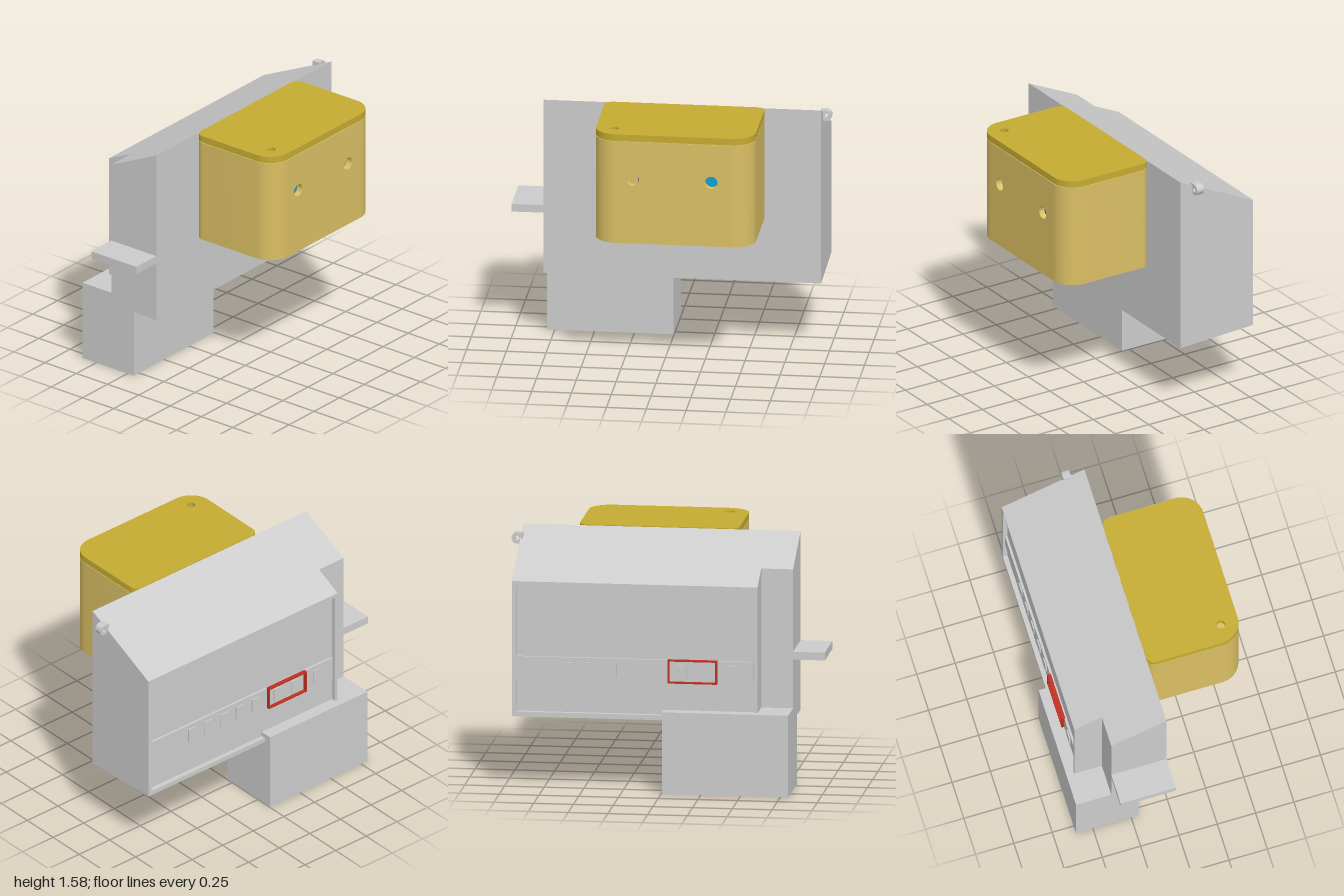
import * as THREE from 'three';
import { toCreasedNormals } from 'three/addons/utils/BufferGeometryUtils.js';

const paint = (color) => new THREE.MeshStandardMaterial({ color });
const grey = paint(0xcccccc), gold = paint(0xdabf64), lidGold = paint(0xc5ab33);
const red = paint(0xc03020), blue = paint(0x1010e0), cyan = paint(0x10a0d0);

export function createModel() {
  const model = new THREE.Group();

  const add = (name, geometry, material = grey, parent = model) => {
    const mesh = new THREE.Mesh(geometry, material);
    mesh.name = name;
    parent.add(mesh);
    return mesh;
  };

  // box given by its limits
  const block = (name, x0, x1, y0, y1, z0, z1, material, parent) => {
    const g = new THREE.BoxGeometry(x1 - x0, y1 - y0, z1 - z0);
    g.translate((x0 + x1) / 2, (y0 + y1) / 2, (z0 + z1) / 2);
    return add(name, g, material, parent);
  };

  // x-y outline extruded from z0 to z1
  const profile = (name, points, z0, z1, material, parent) => {
    const shape = new THREE.Shape(points.map(([x, y]) => new THREE.Vector2(x, y)));
    const g = new THREE.ExtrudeGeometry(shape, { depth: z1 - z0, bevelEnabled: false });
    return add(name, g.translate(0, 0, z0), material, parent);
  };

  // x-z shape (drawn with y = -z) extruded from y0 to y1
  const upright = (name, shape, y0, y1, material, parent) => {
    const g = new THREE.ExtrudeGeometry(shape, { depth: y1 - y0, bevelEnabled: false, curveSegments: 16 });
    g.rotateX(-Math.PI / 2).translate(0, y0, 0);
    return add(name, toCreasedNormals(g, 0.5), material, parent);
  };

  const circle = (x, y, r) => new THREE.Path().absarc(x, y, r, 0, Math.PI * 2, true);

  // main housing with sloping roof and slightly sloping underside
  const roof = (x) => 1.575 + (x + 0.02) * 0.472;
  const floor = (x) => 0.435 - (x + 0.02) * 0.045;
  const slice = (a, b) => [[a, floor(a)], [b, floor(b)], [b, roof(b)], [a, roof(a)]];
  const body = new THREE.Group();
  body.name = 'housing';
  model.add(body);
  profile('housingCore', slice(-0.53, -0.02), -0.945, 0.6, grey, body);
  profile('housingFront', slice(-0.38, -0.02), 0.6, 0.8, grey, body);

  // raised rim around the recessed side panel
  const rim = slice(-0.56, -0.53);
  profile('rimBack', rim, -0.945, -0.92, grey, body);
  profile('rimFront', rim, 0.58, 0.6, grey, body);
  profile('rimTop', [[-0.56, 1.295], [-0.53, 1.295], rim[2], rim[3]], -0.92, 0.58, grey, body);
  profile('rimBottom', [rim[0], rim[1], [-0.53, 0.49], [-0.56, 0.49]], -0.92, 0.58, grey, body);

  // counter strip with plain dials and a red frame
  const counter = new THREE.Group();
  counter.name = 'counter';
  model.add(counter);
  block('counterStrip', -0.545, -0.53, 0.69, 0.84, -0.92, 0.57, grey, counter);
  for (const z of [-0.58, -0.45, -0.32, -0.19, -0.06, 0.12, 0.26, 0.44]) {
    block('dial', -0.553, -0.54, 0.72, 0.81, z - 0.03, z + 0.03, grey, counter);
  }
  for (const y of [0.7, 0.84]) {
    block('redFrameRail', -0.565, -0.54, y - 0.005, y + 0.005, 0.035, 0.345, red, counter);
  }
  for (const z of [0.04, 0.34]) {
    block('redFrameEnd', -0.565, -0.54, 0.7, 0.84, z - 0.005, z + 0.005, red, counter);
  }

  // foot and front shelf
  block('foot', -0.61, -0.2, 0, 0.52, 0.005, 0.8);
  block('frontShelf', -0.38, -0.02, 0.83, 0.88, 0.8, 1);

  // rear eyelet: a rounded lug with a hole, its axis along x
  const lug = new THREE.Shape();
  lug.moveTo(0.93, 1.475);
  lug.lineTo(0.965, 1.475);
  lug.absarc(0.965, 1.51, 0.035, -Math.PI / 2, Math.PI / 2, false);
  lug.lineTo(0.93, 1.545);
  lug.holes.push(circle(0.965, 1.51, 0.014));
  const lugGeometry = new THREE.ExtrudeGeometry(lug, { depth: 0.05, bevelEnabled: false, curveSegments: 14 });
  lugGeometry.rotateY(Math.PI / 2).translate(-0.16, 0, 0);
  add('rearEyelet', toCreasedNormals(lugGeometry, 0.5));

  // yellow enclosure outline, wide radius on the outer side
  const enclosure = new THREE.Group();
  enclosure.name = 'enclosure';
  model.add(enclosure);
  const rounded = (inset, Type = THREE.Shape) => {
    const s = new Type();
    const x0 = -0.02 + inset, x1 = 0.605 - inset, b = -0.41 + inset, t = 0.595 - inset;
    const r = 0.14 - inset, q = 0.055 - inset;
    s.moveTo(x0 + q, b);
    s.absarc(x1 - r, b + r, r, -Math.PI / 2, 0, false);
    s.absarc(x1 - r, t - r, r, 0, Math.PI / 2, false);
    s.absarc(x0 + q, t - q, q, Math.PI / 2, Math.PI, false);
    s.absarc(x0 + q, b + q, q, Math.PI, Math.PI * 1.5, false);
    return s;
  };

  // walls left open on the outer side, where the drilled wall fits in
  const walls = new THREE.Shape();
  const w = 0.04, x0 = -0.02, x1 = 0.605, b = -0.41, t = 0.595, r = 0.14, q = 0.055;
  const H = Math.PI / 2;
  walls.moveTo(x1, t - r);
  walls.absarc(x1 - r, t - r, r, 0, H, false);
  walls.absarc(x0 + q, t - q, q, H, 2 * H, false);
  walls.absarc(x0 + q, b + q, q, 2 * H, 3 * H, false);
  walls.absarc(x1 - r, b + r, r, 3 * H, 4 * H, false);
  walls.lineTo(x1 - w, b + r);
  walls.absarc(x1 - r, b + r, r - w, 0, -H, true);
  walls.absarc(x0 + q, b + q, q - w, 3 * H, 2 * H, true);
  walls.absarc(x0 + q, t - q, q - w, 2 * H, H, true);
  walls.absarc(x1 - r, t - r, r - w, H, 0, true);
  upright('enclosureWalls', walls, 0.865, 1.533, gold, enclosure);

  // outer wall with two cable holes
  const drilled = new THREE.Shape([[b + r, 0.865], [t - r, 0.865], [t - r, 1.533], [b + r, 1.533]]
    .map(([x, y]) => new THREE.Vector2(x, y)));
  for (const z of [0.165, -0.33]) drilled.holes.push(circle(-z, 1.285, 0.04));
  const drilledGeometry = new THREE.ExtrudeGeometry(drilled, { depth: w, bevelEnabled: false, curveSegments: 16 });
  drilledGeometry.rotateY(H).translate(x1 - w, 0, 0);
  add('enclosureOuterWall', toCreasedNormals(drilledGeometry, 0.5), gold, enclosure);

  // base with a slot
  const base = rounded(0);
  const slot = new THREE.Path();
  slot.absarc(0.115, 0.4, 0.03, 0, Math.PI, false);
  slot.absarc(0.115, 0.26, 0.03, Math.PI, Math.PI * 2, false);
  slot.closePath();
  base.holes.push(slot);
  upright('enclosureBase', base, 0.865, 0.905, gold, enclosure);

  // lid with a screw hole above a post
  const lid = rounded(0);
  lid.holes.push(circle(0.49, -0.29, 0.027));
  upright('enclosureLid', lid, 1.537, 1.58, lidGold, enclosure);
  upright('lidSeam', rounded(0.005), 1.531, 1.538, gold, enclosure);
  const post = new THREE.CylinderGeometry(0.045, 0.045, 0.62, 20);
  add('screwPost', post.translate(0.49, 1.215, 0.29), gold, enclosure);

  // electronics glimpsed through the holes
  block('blueModule', 0.15, 0.35, 0.95, 1.4, -0.12, 0.16, blue, enclosure);
  block('circuitBoard', 0.15, 0.2, 0.95, 1.45, -0.5, -0.16, cyan, enclosure);
  block('boardChip', 0.2, 0.26, 1.265, 1.42, -0.45, -0.31, grey, enclosure);

  return model;
}
